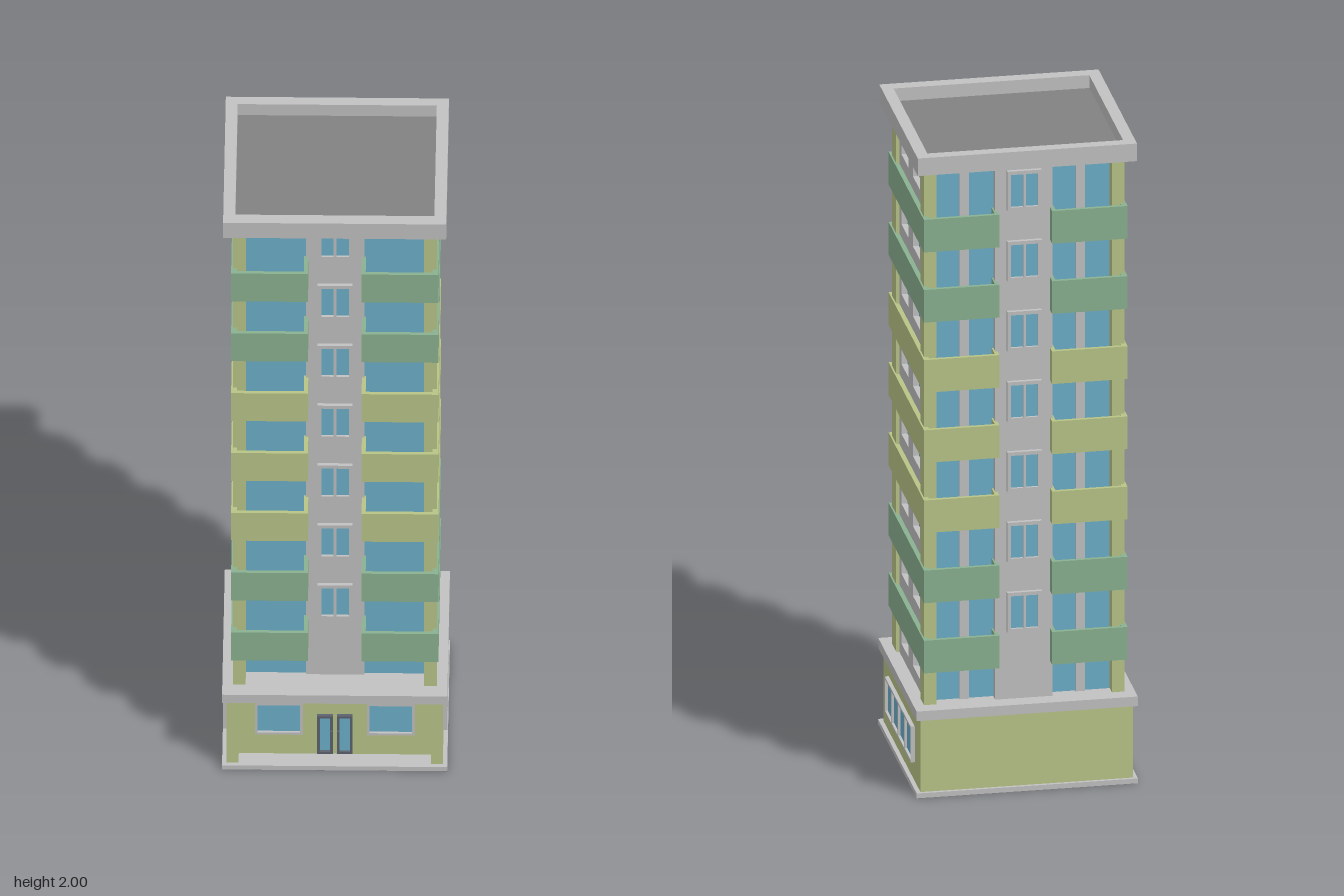
import * as THREE from 'three';

const mat = (name, color) => {
  const m = new THREE.MeshStandardMaterial({ color });
  m.name = name;
  return m;
};

export function createModel() {
  const grey = mat('light grey concrete', 0xc1c1c1);
  const roofGrey = mat('dark grey roof', 0x828282);
  const yellow = mat('yellow green plaster', 0xb8c487);
  const green = mat('green panel', 0x8ab190);
  const glass = mat('blue glass', 0x6cafca);
  const dark = mat('dark door frame', 0x5c626e);

  const root = new THREE.Group();
  root.name = 'apartmentTower';

  // Box given by its minimum and maximum on each axis
  const box = (name, m, x0, x1, y0, y1, z0, z1, parent = root) => {
    const mesh = new THREE.Mesh(new THREE.BoxGeometry(x1 - x0, y1 - y0, z1 - z0), m);
    mesh.position.set((x0 + x1) / 2, (y0 + y1) / 2, (z0 + z1) / 2);
    mesh.name = name;
    parent.add(mesh);
    return mesh;
  };

  const rect = (Type, x0, x1, y0, y1) => {
    const p = new Type();
    p.moveTo(x0, y0);
    p.lineTo(x1, y0);
    p.lineTo(x1, y1);
    p.lineTo(x0, y1);
    p.closePath();
    return p;
  };

  // Slab with rectangular openings, facing +z
  const pierced = (name, m, outline, holes, depth) => {
    const shape = rect(THREE.Shape, ...outline);
    holes.forEach((h) => shape.holes.push(rect(THREE.Path, ...h)));
    const mesh = new THREE.Mesh(new THREE.ExtrudeGeometry(shape, { depth, bevelEnabled: false }), m);
    mesh.name = name;
    return mesh;
  };

  // Framed window with equal panes, its back on z = 0
  const framedWindow = (name, w, h, panes, border, gap, frame = grey) => {
    const g = new THREE.Group();
    g.name = name;
    const pw = (w - 2 * border - (panes - 1) * gap) / panes;
    const holes = [];
    for (let i = 0; i < panes; i++) {
      const x = -w / 2 + border + i * (pw + gap);
      holes.push([x, x + pw, -h / 2 + border, h / 2 - border]);
    }
    g.add(pierced('windowFrame', frame, [-w / 2, w / 2, -h / 2, h / 2], holes, 0.012));
    box('windowGlass', glass, -w / 2 + border / 2, w / 2 - border / 2, -h / 2 + border / 2, h / 2 - border / 2, 0, 0.004, g);
    root.add(g);
    return g;
  };

  // Podium with recessed entrance front
  box('groundSlab', grey, -0.328, 0.328, 0, 0.015, -0.305, 0.305);
  box('slabUnderside', roofGrey, -0.327, 0.327, -0.001, 0.001, -0.304, 0.304);
  box('podium', yellow, -0.315, 0.315, 0.015, 0.24, -0.295, 0.245);
  box('podiumCornice', grey, -0.328, 0.328, 0.24, 0.27, -0.302, 0.3);
  for (const s of [-1, 1]) {
    const x = s * 0.2975;
    box('podiumPier', yellow, x - 0.0175, x + 0.0175, 0.015, 0.24, 0.245, 0.29);
    framedWindow('podiumFrontWindow', 0.14, 0.115, 1, 0.008, 0).position.set(s * 0.163, 0.15, 0.245);
    const side = framedWindow('podiumSideWindow', 0.41, 0.112, 4, 0.007, 0.009);
    side.position.set(s * 0.315, 0.13, 0);
    side.rotation.y = s * Math.PI / 2;
    // Entrance door leaf and handle
    framedWindow('doorLeaf', 0.046, 0.138, 1, 0.008, 0, dark).position.set(s * 0.029, 0.092, 0.245);
    box('doorHandle', dark, s * 0.01 - 0.003, s * 0.01 + 0.003, 0.075, 0.11, 0.257, 0.265);
  }

  // Glazed core of the tower
  box('glazedCore', glass, -0.27, 0.27, 0.27, 1.945, -0.22, 0.19);
  box('frontColumn', grey, -0.085, 0.085, 0.27, 1.945, 0.15, 0.198);
  box('backColumn', grey, -0.085, 0.085, 0.27, 1.945, -0.25, -0.2);

  // Side walls with window openings
  const openings = [];
  for (let i = 0; i < 8; i++) {
    const y = 0.308 + i * 0.2185;
    openings.push([-0.147, -0.033, y, y + 0.057], [0.033, 0.147, y, y + 0.057]);
  }
  for (const s of [-1, 1]) {
    const wall = pierced('sideWall', grey, [-0.202, 0.202, 0.27, 1.945], openings, 0.018);
    wall.position.x = s * 0.27;
    wall.rotation.y = s * Math.PI / 2;
    root.add(wall);
    // Corner piers and back mullions
    const a = s * 0.2785, m = s * 0.172;
    box('frontCornerPier', yellow, a - 0.0185, a + 0.0185, 0.27, 1.945, 0.185, 0.25);
    box('frontPierReturn', yellow, s * 0.28 - 0.016, s * 0.28 + 0.016, 0.27, 1.945, 0.18, 0.2);
    box('backCornerPier', yellow, a - 0.0185, a + 0.0185, 0.27, 1.945, -0.255, -0.2);
    box('backMullion', grey, m - 0.014, m + 0.014, 0.27, 1.945, -0.228, -0.215);
  }

  // Stairwell windows, front and back
  for (let i = 0; i < 7; i++) {
    const y = 0.543 + i * 0.2195;
    framedWindow('frontColumnWindow', 0.102, 0.124, 2, 0.011, 0.008).position.set(0, y, 0.198);
    const back = framedWindow('backColumnWindow', 0.102, 0.124, 2, 0.011, 0.008);
    back.position.set(0, y, -0.25);
    back.rotation.y = Math.PI;
  }

  // Wraparound balcony bands: floors, parapets and end walls
  const bandColours = [green, green, yellow, yellow, yellow, green, green];
  bandColours.forEach((m, i) => {
    const y = 0.379 + i * 0.2193, top = y + 0.102, t = 0.012;
    for (const s of [-1, 1]) {
      const g = new THREE.Group();
      g.name = 'balconyBand';
      root.add(g);
      const part = (name, xa, xb, y1, z0, z1) =>
        box(name, m, Math.min(s * xa, s * xb), Math.max(s * xa, s * xb), y, y1, z0, z1, g);
      part('sideBand', 0.285, 0.302, top, -0.28, 0.277);
      part('frontParapet', 0.078, 0.285, top, 0.277 - t, 0.277);
      part('backParapet', 0.078, 0.285, top, -0.28, -0.28 + t);
      part('frontEndWall', 0.078, 0.078 + t, top, 0.185, 0.277 - t);
      part('backEndWall', 0.078, 0.078 + t, top, -0.28 + t, -0.215);
      part('frontFloor', 0.078 + t, 0.285, y + 0.015, 0.185, 0.277 - t);
      part('backFloor', 0.078 + t, 0.285, y + 0.015, -0.28 + t, -0.215);
    }
  });

  // Flat roof inside a raised rim
  box('roofSlab', grey, -0.324, 0.324, 1.945, 1.955, -0.304, 0.299);
  box('roofSurface', roofGrey, -0.292, 0.292, 1.955, 1.96, -0.272, 0.262);
  const rim = pierced('roofRim', grey, [-0.325, 0.325, -0.3, 0.305], [[-0.29, 0.29, -0.26, 0.27]], 0.055);
  rim.rotation.x = -Math.PI / 2;
  rim.position.y = 1.945;
  root.add(rim);

  return root;
}
